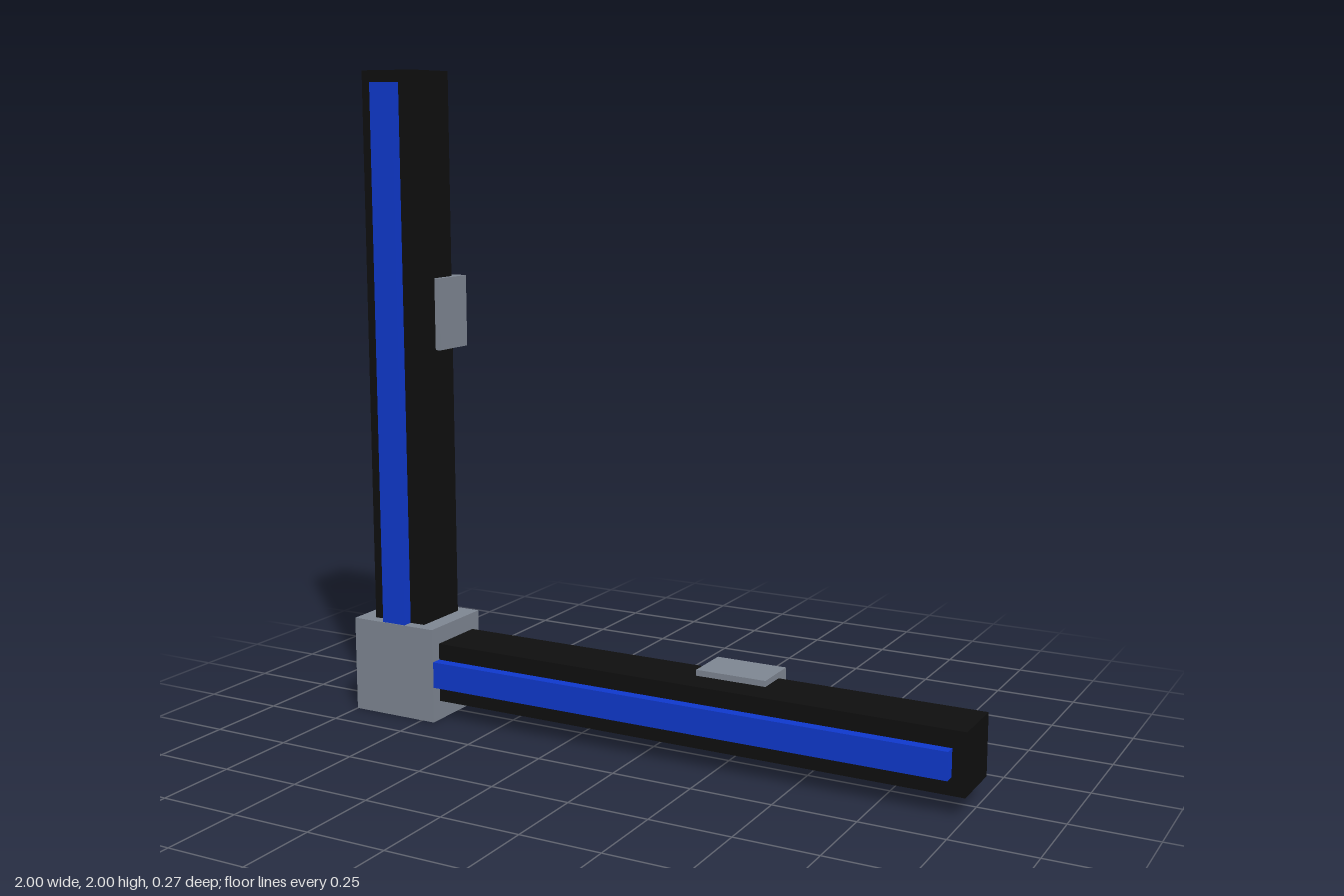
import * as THREE from 'three';

export function createModel() {
  const model = new THREE.Group();
  model.name = 'cornerFrame';

  const material = (name, color) => {
    const m = new THREE.MeshStandardMaterial({ color });
    m.name = name;
    return m;
  };
  const black = material('black', 0x0f0f0f);
  const blue = material('blue', 0x0f38cc);
  const grey = material('grey', 0x7e8692);

  // Box given by its [min, max] extent on each axis
  const box = (name, mat, x, y, z) => {
    const size = [x, y, z].map(([a, b]) => b - a);
    const mesh = new THREE.Mesh(new THREE.BoxGeometry(...size), mat);
    mesh.position.set(...[x, y, z].map(([a, b]) => (a + b) / 2));
    mesh.name = name;
    model.add(mesh);
  };

  const beamZ = [-0.084, 0.101];
  const stripZ = [0.101, 0.134];
  const clampZ = [-0.137, 0.008];

  // Corner block joining the two arms
  box('cornerBlock', grey, [-1, -0.705], [0, 0.298], [-0.119, 0.137]);

  // Upright arm with its front strip and rear clamp
  box('uprightBeam', black, [-0.945, -0.76], [0.15, 2], beamZ);
  box('uprightStrip', blue, [-0.893, -0.811], [0.2, 1.964], stripZ);
  box('uprightClamp', grey, [-0.963, -0.742], [1.152, 1.374], clampZ);

  // Level arm with its front strip and rear clamp
  box('levelBeam', black, [-0.85, 1], [0.06, 0.245], beamZ);
  box('levelStrip', blue, [-0.8, 0.96], [0.112, 0.194], stripZ);
  box('levelClamp', grey, [0.145, 0.368], [0.042, 0.263], clampZ);

  return model;
}
